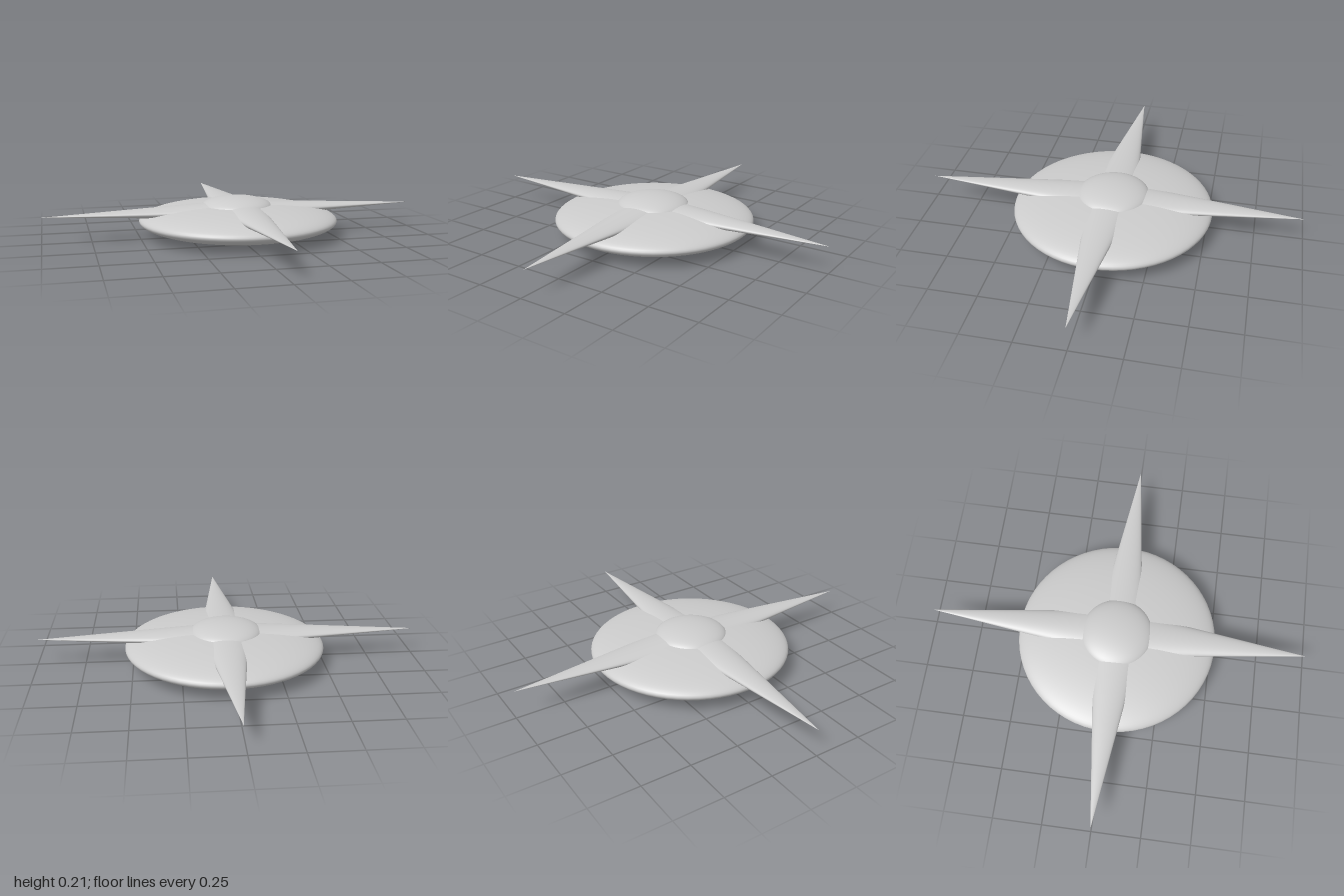
import * as THREE from 'three';

const material = new THREE.MeshStandardMaterial({ color: 0xcccccc });

// Smooth sphere squashed into a lens shape
function lens(name, radius, halfHeight, x, y, z) {
  const geometry = new THREE.SphereGeometry(1, 64, 40);
  geometry.scale(radius, halfHeight, radius);
  const mesh = new THREE.Mesh(geometry, material);
  mesh.name = name;
  mesh.position.set(x, y, z);
  return mesh;
}

// Flattened cone lying along +z, base at the centre and tip outwards
function spike(name, length, angle, x, z) {
  const geometry = new THREE.ConeGeometry(1, length, 48, 12);
  geometry.translate(0, length / 2, 0);
  geometry.rotateX(Math.PI / 2);
  geometry.scale(0.13, 0.045, 1);
  const mesh = new THREE.Mesh(geometry, material);
  mesh.name = name;
  mesh.rotation.y = angle;
  mesh.position.set(x, 0.137, z);
  return mesh;
}

export function createModel() {
  const model = new THREE.Group();
  model.name = 'spikedSaucer';

  // Saucer hull and the dome on top of it
  model.add(lens('hull', 0.523, 0.085, 0.018, 0.085, -0.005));
  model.add(lens('dome', 0.19, 0.058, 0.01, 0.15, -0.004));

  // Four spikes in a cross
  model.add(spike('frontSpike', 0.99, 0, 0.017, 0));
  model.add(spike('leftSpike', 1, Math.PI / 2, 0, 0.002));
  model.add(spike('backSpike', 0.99, Math.PI, 0.017, 0));
  model.add(spike('rightSpike', 1, -Math.PI / 2, 0, 0.002));

  return model;
}
